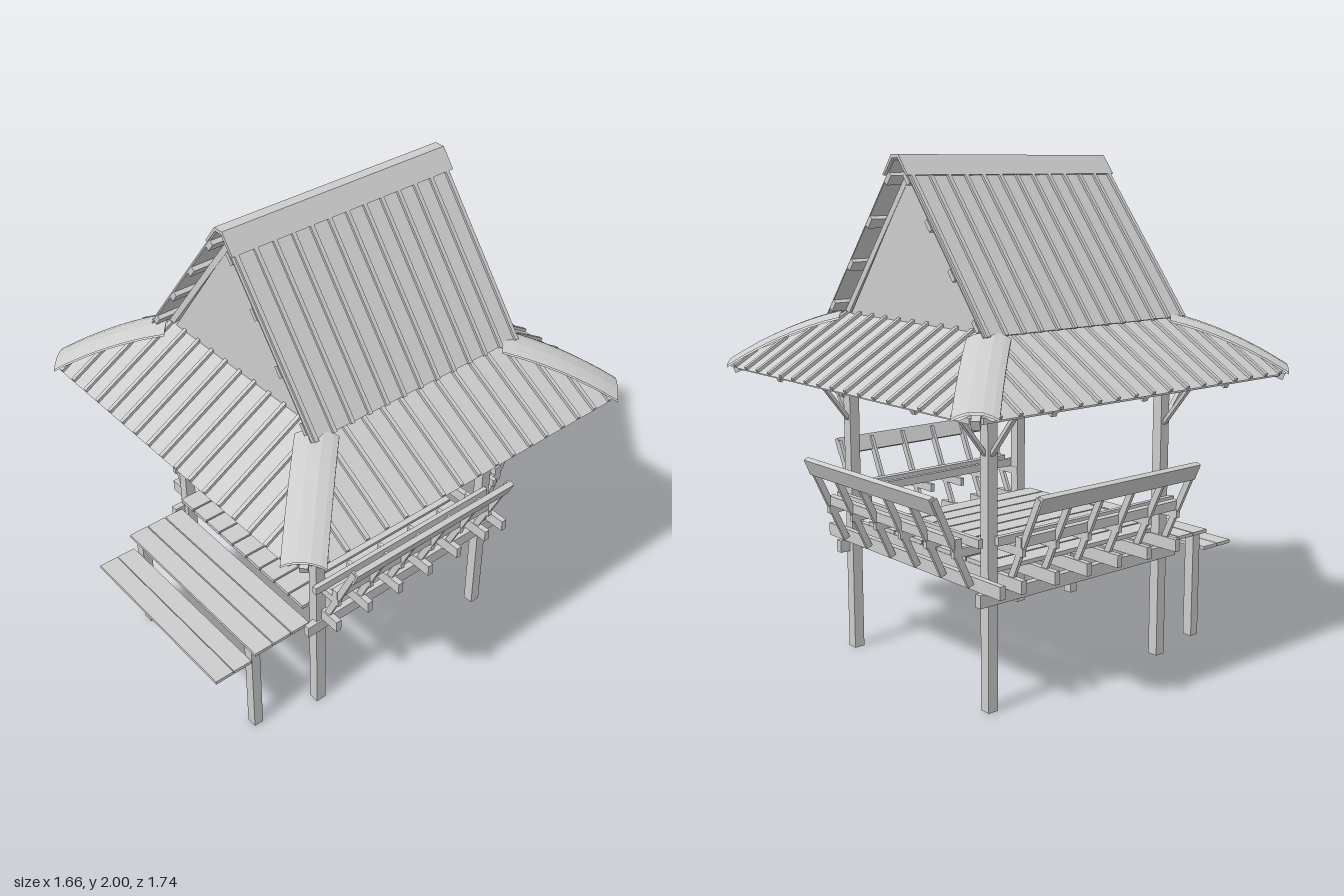
import * as THREE from 'three';

const V = (x, y, z) => new THREE.Vector3(x, y, z);

export function createModel() {
  const model = new THREE.Group();
  model.name = 'pavilion';
  const grey = new THREE.MeshStandardMaterial({ color: 0xcccccc, flatShading: true, side: THREE.DoubleSide });
  grey.name = 'plain grey';

  const group = (name, parent = model) => {
    const g = new THREE.Group();
    g.name = name;
    parent.add(g);
    return g;
  };
  const add = (parent, name, geo) => {
    const m = new THREE.Mesh(geo, grey);
    m.name = name;
    parent.add(m);
    return m;
  };
  // box given by its low and high corners
  const box = (parent, name, x0, x1, y0, y1, z0, z1) =>
    add(parent, name, new THREE.BoxGeometry(x1 - x0, y1 - y0, z1 - z0)
      .translate((x0 + x1) / 2, (y0 + y1) / 2, (z0 + z1) / 2));
  // straight bar from a to b, w wide along side, h thick across it
  const bar = (parent, name, a, b, w, h, side) => {
    const dir = b.clone().sub(a);
    const len = dir.length();
    dir.normalize();
    const up = side.clone().cross(dir).normalize();
    const s = dir.clone().cross(up);
    const geo = new THREE.BoxGeometry(w, h, len);
    geo.applyMatrix4(new THREE.Matrix4().makeBasis(s, up, dir));
    const c = a.clone().add(b).multiplyScalar(0.5);
    return add(parent, name, geo.translate(c.x, c.y, c.z));
  };
  // skin over rows of points
  const loft = (parent, name, rows) => {
    const n = rows[0].length, index = [];
    for (let i = 0; i < rows.length - 1; i++)
      for (let j = 0; j < n - 1; j++) {
        const a = i * n + j;
        index.push(a, a + n, a + 1, a + 1, a + n, a + n + 1);
      }
    const geo = new THREE.BufferGeometry().setFromPoints(rows.flat());
    geo.setIndex(index);
    geo.computeVertexNormals();
    return add(parent, name, geo);
  };

  const house = group('house');
  house.position.z = -0.033;
  const X = V(1, 0, 0), Z = V(0, 0, 1);

  // main posts, and the braces that lean out to the eaves
  const frame = group('frame', house);
  for (const sx of [-1, 1]) for (const sz of [-1, 1]) {
    const px = 0.433 * sx, pz = 0.44 * sz;
    box(frame, 'post', px - 0.022, px + 0.022, 0, 1.37, pz - 0.022, pz + 0.022);
    bar(frame, 'sideBrace', V(px, 0.94, pz), V(0.665 * sx, 1.225, pz), 0.02, 0.014, Z);
    bar(frame, 'endBrace', V(px, 0.94, pz), V(px, 1.225, 0.665 * sz), 0.02, 0.014, X);
    bar(frame, 'hipRafter', V(0.42 * sx, 1.36, 0.42 * sz), V(0.77 * sx, 1.155, 0.77 * sz), 0.03, 0.035, V(sx, 0, -sz));
  }
  for (const s of [-1, 1]) {
    box(frame, 'sidePlate', 0.433 * s - 0.015, 0.433 * s + 0.015, 1.32, 1.37, -0.46, 0.46);
    box(frame, 'endPlate', -0.45, 0.45, 1.32, 1.37, 0.44 * s - 0.015, 0.44 * s + 0.015);
    box(frame, 'floorBeam', s * 0.449 - 0.014, s * 0.449 + 0.014, 0.41, 0.46, -0.505, 0.508);
  }

  // floor joists and planks
  const floor = group('floor', house);
  const stations = [-0.4, -0.24, -0.08, 0.08, 0.24, 0.4];
  for (const z of [...stations.map(v => v + 0.025), -0.475])
    box(floor, 'joist', -0.55, 0.545, 0.46, 0.51, z - 0.012, z + 0.012);
  for (let i = 0; i < 9; i++) {
    const x = -0.41 + i * 0.0915;
    box(floor, 'floorPlank', x, x + 0.084, 0.51, 0.526, -0.385, 0.49);
  }

  // leaning backrest, built facing +x with its length along z
  const backrest = (name, angle, shift) => {
    const g = group(name, house);
    for (const z of stations) {
      bar(g, 'slat', V(0.47, 0.48, z), V(0.632, 0.825, z), 0.014, 0.026, Z);
      box(g, 'armBlock', 0.41, 0.55, 0.597, 0.63, z - 0.009, z + 0.009);
    }
    bar(g, 'topRail', V(0.617, 0.77, 0), V(0.645, 0.833, 0), 0.81, 0.022, Z);
    box(g, 'seatRail', 0.455, 0.475, 0.63, 0.663, -0.455, 0.455);
    box(g, 'outerRail', 0.515, 0.545, 0.63, 0.667, -0.41, 0.41);
    g.rotation.y = angle;
    g.position.z = shift;
  };
  backrest('leftBackrest', 0, 0.025);
  backrest('rightBackrest', Math.PI, 0.025);
  backrest('rearBackrest', Math.PI / 2, -0.03);

  // steps at the front
  const steps = group('steps');
  for (const s of [-1, 1])
    box(steps, 'stepPost', s * 0.373 - 0.022, s * 0.373 + 0.022, 0, 0.45, 0.66, 0.70);
  for (let i = 0; i < 3; i++)
    box(steps, 'upperTread', -0.42, 0.44, 0.45, 0.464, 0.455 + i * 0.088, 0.538 + i * 0.088);
  for (let i = 0; i < 2; i++)
    box(steps, 'lowerTread', -0.415, 0.4, 0.374, 0.388, 0.706 + i * 0.084, 0.787 + i * 0.084);

  // steep upper roof: sheets, ribs, purlins and gable rafters
  const upper = group('upperRoof', house);
  for (const s of [-1, 1]) {
    const top = V(0.02 * s, 1.977, 0), low = V(0.487 * s, 1.382, 0);
    const out = V(0.787 * s, 0.617, 0);
    const at = (t, off, z) => top.clone().lerp(low, t).addScaledVector(out, off).setZ(z);
    bar(upper, 'roofSheet', at(0, 0, 0), at(1, 0, 0), 1.012, 0.005, Z);
    for (let i = 0; i < 13; i++) {
      const z = -0.49 + i * 0.0815;
      bar(upper, 'roofRib', at(0.04, 0.006, z), at(1.005, 0.006, z), 0.016, 0.012, Z);
    }
    for (const t of [0.1, 0.37, 0.65, 0.93])
      bar(upper, 'purlin', at(t, -0.012, -0.508), at(t, -0.012, 0.508), 0.018, 0.045, out);
    for (const z of [-0.43, 0, 0.43])
      bar(upper, 'rafter', at(0.05, -0.034, z), at(0.98, -0.034, z), 0.03, 0.025, Z);
    const gable = new THREE.Shape([[-0.415, 1.38], [0.415, 1.38], [0, 1.935]].map(p => new THREE.Vector2(...p)));
    const wall = add(upper, 'gableWall', new THREE.ExtrudeGeometry(gable, { depth: 0.008, bevelEnabled: false }));
    wall.position.z = s * 0.44 - 0.004;
  }
  // folded ridge cap
  const capLine = [[-0.078, 1.925], [-0.022, 1.998], [0.022, 1.998], [0.078, 1.925], [0.068, 1.922], [0.017, 1.985], [-0.017, 1.985], [-0.068, 1.922]];
  const capShape = new THREE.Shape(capLine.map(p => new THREE.Vector2(...p)));
  add(upper, 'ridgeCap', new THREE.ExtrudeGeometry(capShape, { depth: 1.025, bevelEnabled: false }).translate(0, 0, -0.517));

  // low skirt roof: four ribbed slopes, each built facing +z
  const IN = 0.42, OUT = 0.808, LOW = 0.765;
  const height = d => 1.398 - (d - IN) * 0.585;
  for (const [i, name] of ['frontSkirt', 'leftSkirt', 'rearSkirt', 'rightSkirt'].entries()) {
    const g = group(name, house);
    g.rotation.y = i * Math.PI / 2;
    loft(g, 'skirtSheet', [
      [V(-IN, height(IN), IN), V(IN, height(IN), IN)],
      [V(-LOW, height(LOW), LOW), V(LOW, height(LOW), LOW)],
      [V(-0.735, height(OUT), OUT), V(0.735, height(OUT), OUT)]]);
    for (let k = -8; k <= 8; k++) {
      const x = k * 0.0875, d = Math.max(IN, Math.abs(x) + 0.01);
      bar(g, 'skirtRib', V(x, height(d) + 0.006, d), V(x, height(OUT) + 0.006, OUT), 0.016, 0.013, X);
    }
    for (const d of [0.56, 0.67])
      box(g, 'skirtPurlin', -d, d, height(d) - 0.03, height(d) - 0.008, d - 0.012, d + 0.012);
    box(g, 'eaveBeam', -0.74, 0.74, 1.156, 1.176, 0.75, 0.772);
    for (const x of [-0.433, 0, 0.433])
      bar(g, 'skirtRafter', V(x, height(0.44) - 0.04, 0.44), V(x, height(0.77) - 0.04, 0.77), 0.024, 0.026, X);
  }

  // arched caps curving down over the four hips
  for (const sx of [-1, 1]) for (const sz of [-1, 1]) {
    const rows = [];
    for (let i = 0; i <= 8; i++) {
      const t = i / 8, d = 0.455 + 0.322 * t;
      const y = 1.398 - 0.196 * t + 0.09 * t * (1 - t);
      rows.push([-1, -0.75, -0.3, 0.3, 0.75, 1].map(u =>
        V(sx * (d + u * 0.055), y - 0.024 * u * u, sz * (d - u * 0.055))));
    }
    loft(house, 'hipCap', rows);
    loft(house, 'hipCapUnderside', rows.map(r => r.map(p => p.clone().add(V(0, -0.008, 0)))));
  }
  return model;
}
